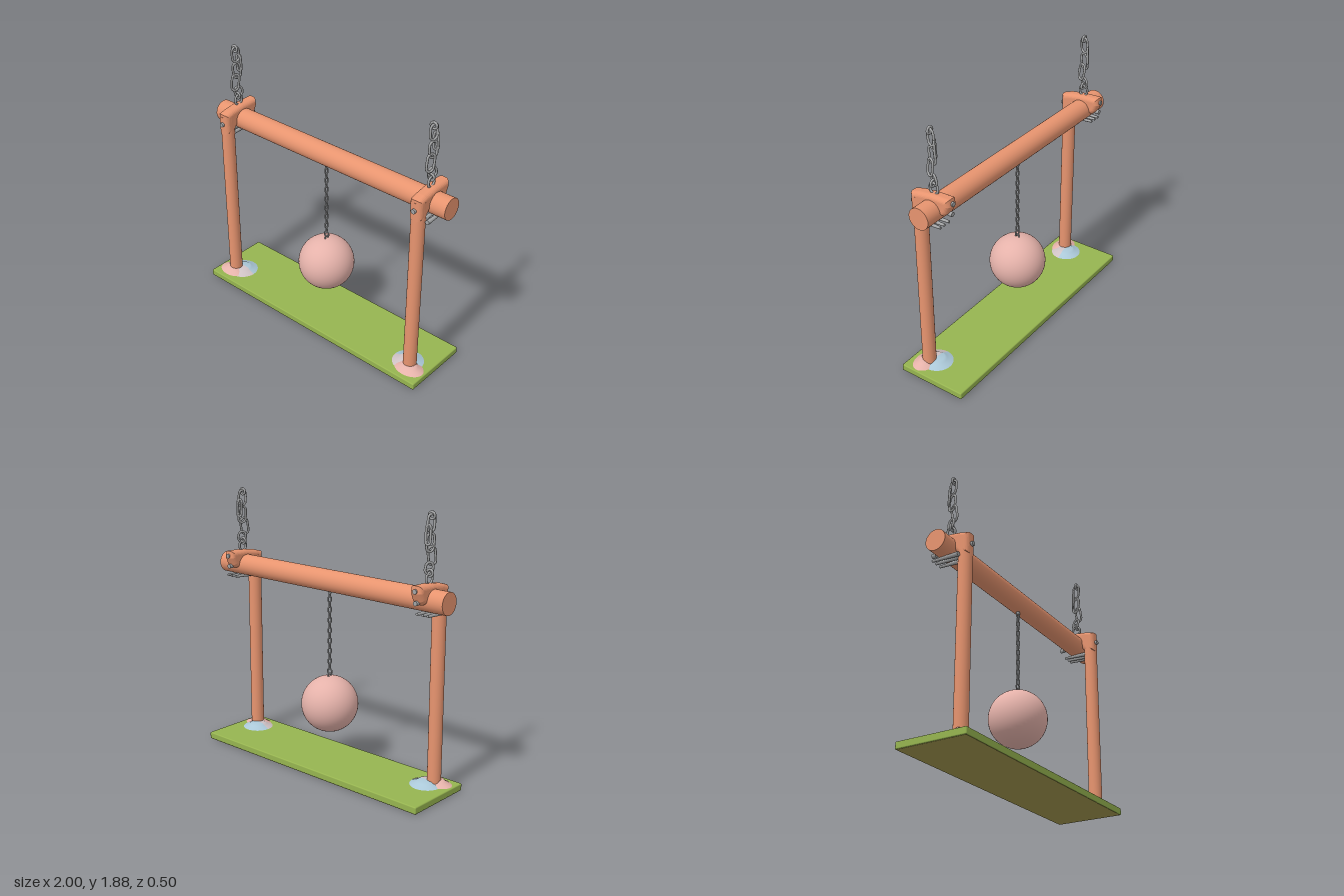
import * as THREE from 'three';
import { RoundedBoxGeometry } from 'three/addons/geometries/RoundedBoxGeometry.js';

export function createModel() {
  const model = new THREE.Group();
  const mat = (name, color) => new THREE.MeshStandardMaterial({ name, color });
  const wood = mat('terracottaWood', 0xe7946f);
  const green = mat('grassGreen', 0x96b450);
  const olive = mat('oliveUnderside', 0xa0964e);
  const pink = mat('dustyPink', 0xe5b2aa);
  const lilac = mat('greyLilac', 0xcfc2c5);
  const blue = mat('paleBlue', 0xabc8d8);
  const metal = mat('metalGrey', 0xa4a5a6);

  const add = (parent, name, geo, material, x = 0, y = 0, z = 0) => {
    const mesh = new THREE.Mesh(geo, material);
    mesh.name = name;
    mesh.position.set(x, y, z);
    parent.add(mesh);
    return mesh;
  };

  // Oval chain link standing in the xy plane
  const linkGeometry = (halfLength, halfWidth, tube) => {
    const straight = halfLength - halfWidth;
    const points = [];
    for (let i = 0; i < 16; i++) {
      const a = ((i + 0.5) / 16) * Math.PI * 2;
      points.push(new THREE.Vector3(
        Math.cos(a) * (halfWidth - tube),
        Math.sin(a) * (halfWidth - tube) + Math.sign(Math.sin(a)) * straight, 0));
    }
    return new THREE.TubeGeometry(new THREE.CatmullRomCurve3(points, true), 32, tube, 6, true);
  };

  // Base board with its darker underside
  add(model, 'baseBoard', new RoundedBoxGeometry(1.945, 0.049, 0.505, 2, 0.008), green, 0, 0.0255, 0);
  add(model, 'baseUnderside', new THREE.BoxGeometry(1.935, 0.004, 0.495), olive, 0, 0.002, 0);

  // Crossbeam
  const beam = new THREE.CylinderGeometry(0.075, 0.075, 2, 32).rotateZ(Math.PI / 2);
  add(model, 'crossbeam', beam, wood, 0, 1.325, 0);

  // Hook-shaped clamp over the beam: side profile as (z, y)
  const profile = [[0.135, 1.28], [0.135, 1.378], [0.1, 1.388], [0, 1.402], [-0.105, 1.405],
    [-0.107, 1.39], [-0.09, 1.35], [-0.08, 1.34], [-0.05, 1.345], [0.08, 1.32], [0.11, 1.28]];
  const clampGeo = new THREE.ExtrudeGeometry(
    new THREE.Shape(profile.map(([z, y]) => new THREE.Vector2(z, y))),
    { depth: 0.028, bevelEnabled: true, bevelSize: 0.03, bevelThickness: 0.032, bevelSegments: 6 });
  clampGeo.translate(0, 0, -0.014).rotateY(-Math.PI / 2);

  // Flared foot mound, turned through part of a circle
  const moundProfile = [[0.11, 0], [0.09, 0.01], [0.065, 0.022], [0.05, 0.034], [0, 0.036]]
    .map(([r, y]) => new THREE.Vector2(r, y));
  const moundGeo = new THREE.LatheGeometry(moundProfile, 32);
  const frontHalfGeo = new THREE.LatheGeometry(moundProfile, 16, -Math.PI / 2, Math.PI);
  const backHalfGeo = new THREE.LatheGeometry(moundProfile, 16, Math.PI / 2, Math.PI);

  const boltGeo = new THREE.CylinderGeometry(0.016, 0.016, 0.03, 12).rotateX(Math.PI / 2);
  const pegGeo = new THREE.CylinderGeometry(0.016, 0.009, 0.2, 10).rotateX(Math.PI / 2);

  // Hanging links: y, z, half length, half width, yaw, tilt
  const links = [
    [1.85, 0.015, 0.03, 0.03, 0, 0],
    [1.805, 0.01, 0.062, 0.035, 1.35, 0.05],
    [1.735, -0.018, 0.07, 0.022, 0.5, 0.05],
    [1.685, 0.006, 0.066, 0.036, 1.3, 0.1],
    [1.6, 0.025, 0.068, 0.034, 1.2, -0.15],
    [1.525, 0, 0.046, 0.036, 1.2, 0.3],
    [1.495, 0.01, 0.03, 0.03, 0, 0],
    [1.46, 0.004, 0.045, 0.038, 1.57, 0],
  ];

  for (const side of [-1, 1]) {
    const stand = new THREE.Group();
    stand.name = side < 0 ? 'rightStand' : 'leftStand';
    stand.position.x = side * 0.84;
    model.add(stand);

    add(stand, 'post', new THREE.CylinderGeometry(0.047, 0.047, 1.34, 24), wood, 0, 0.71, 0.12);
    add(stand, 'beamClamp', clampGeo, wood);

    // Tinted mounds around the foot of the post
    add(stand, 'frontMound', moundGeo, pink, side * 0.01, 0.051, 0.14).scale.set(1, 1, 0.72);
    add(stand, 'innerMound', frontHalfGeo, lilac, side * -0.04, 0.05, 0.085).scale.set(1, 0.95, 1);
    add(stand, 'backMound', backHalfGeo, blue, side * -0.04, 0.05, 0.085).scale.set(1, 0.95, 1);

    // Bolts and the pegs below the beam
    add(stand, 'frontBolt', boltGeo, metal, 0, 1.325, 0.166);
    add(stand, 'hookBolt', boltGeo, metal, 0, 1.4, -0.13);
    add(stand, 'lowerHookBolt', boltGeo, metal, 0, 1.325, -0.12);
    for (const offset of [-0.02, 0.025, 0.063]) {
      add(stand, 'peg', pegGeo, metal, side * offset, 1.242, 0.012).rotation.x = 0.03;
    }

    // Suspension chain
    for (const [y, z, halfLength, halfWidth, yaw, tilt] of links) {
      const link = add(stand, 'chainLink', linkGeometry(halfLength, halfWidth, 0.0085), metal, 0, y, z);
      link.rotation.set(tilt, yaw, 0);
    }
  }

  // Hanging ball
  add(model, 'ball', new THREE.SphereGeometry(0.199, 48, 32), pink, -0.018, 0.452, 0);

  // Thin chain from the beam to the ball
  const ballChain = new THREE.Group();
  ballChain.name = 'ballChain';
  ballChain.position.x = -0.017;
  model.add(ballChain);
  add(ballChain, 'ballRing', new THREE.TorusGeometry(0.02, 0.005, 8, 24), metal, 0, 0.684, 0);
  add(ballChain, 'ballEye', new THREE.TorusGeometry(0.014, 0.005, 8, 20).rotateY(Math.PI / 2), metal, 0, 0.657, 0);
  add(ballChain, 'beamEye', new THREE.CylinderGeometry(0.014, 0.01, 0.025, 12), metal, 0, 1.245, 0);
  const smallLink = linkGeometry(0.025, 0.015, 0.0052);
  for (let i = 0; i < 15; i++) {
    const link = add(ballChain, 'ballChainLink', smallLink, metal, 0, 0.722 + i * 0.0365, 0);
    link.rotation.y = Math.PI / 4 * (i % 2 ? 1 : -1) + 0.3;
  }

  return model;
}
